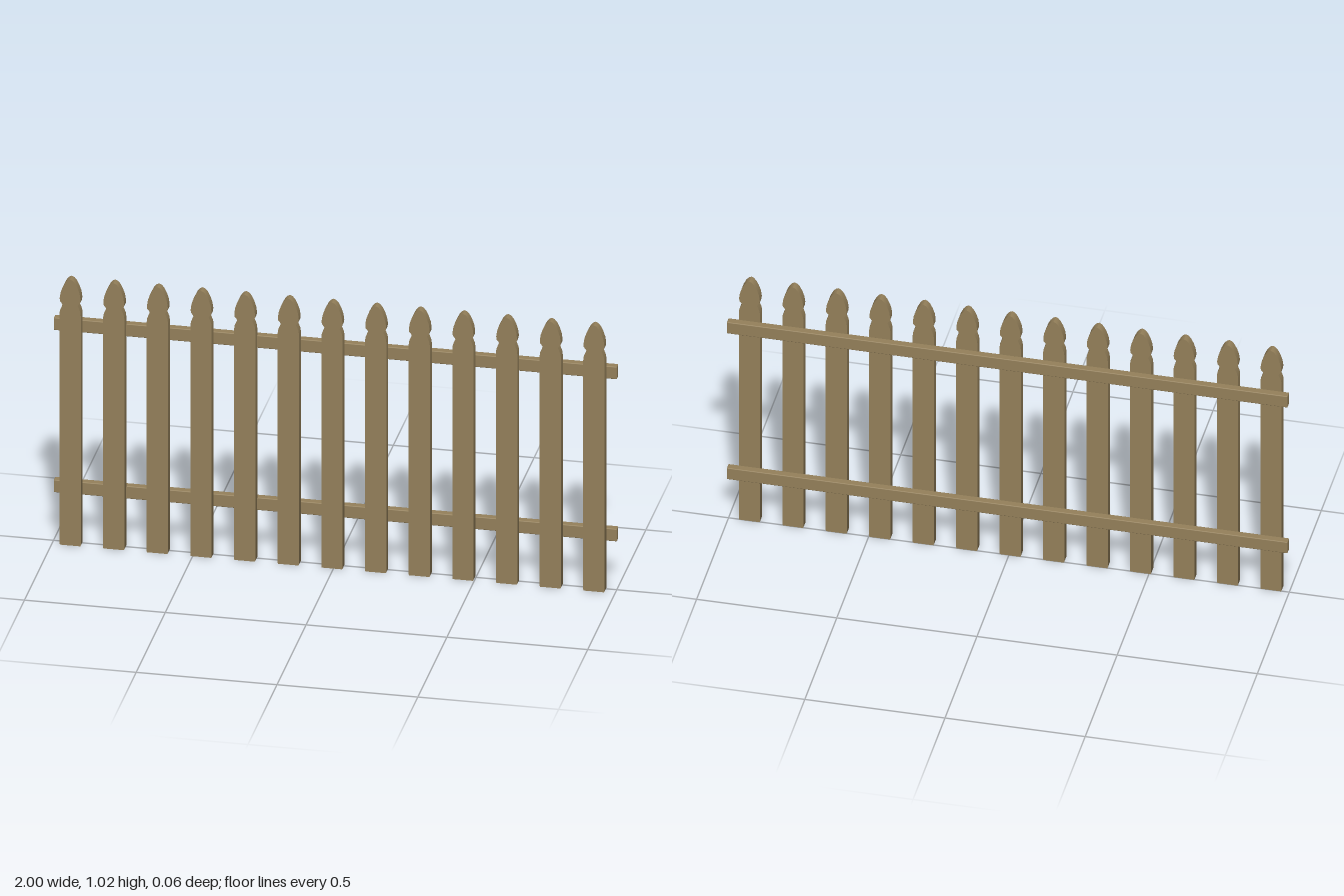
import * as THREE from 'three';
import { RoundedBoxGeometry } from 'three/addons/geometries/RoundedBoxGeometry.js';
import { toCreasedNormals } from 'three/addons/utils/BufferGeometryUtils.js';

const PICKETS = 13, PITCH = 0.155, FIRST_X = -0.935;
const BACK_Z = -0.002, DEPTH = 0.032;

// Right half of the picket outline above the shoulder: [half width, height]
const HEAD = [
  [0.038, 0.885], [0.036, 0.9], [0.031, 0.913], [0.027, 0.922], [0.03, 0.928],
  [0.036, 0.935], [0.037, 0.947], [0.034, 0.968], [0.027, 0.989],
  [0.018, 1.007], [0.009, 1.018], [0, 1.022],
];

function picketGeometry() {
  const right = [[0.036, 0], [0.038, 0.004], ...HEAD];
  const left = right.slice(0, -1).reverse().map(([x, y]) => [-x, y]);
  const shape = new THREE.Shape([...right, ...left].map(([x, y]) => new THREE.Vector2(x, y)));
  const geometry = new THREE.ExtrudeGeometry(shape, { depth: DEPTH, bevelEnabled: false });
  geometry.translate(0, 0, BACK_Z);
  return toCreasedNormals(geometry, 0.6);
}

export function createModel() {
  const group = new THREE.Group();
  group.name = 'picketFence';
  const wood = new THREE.MeshStandardMaterial({ color: 0x94805a });
  wood.name = 'weathered wood';

  // Upright pickets
  const picket = picketGeometry();
  for (let i = 0; i < PICKETS; i++) {
    const mesh = new THREE.Mesh(picket, wood);
    mesh.name = `picket${i + 1}`;
    mesh.position.x = FIRST_X + i * PITCH;
    group.add(mesh);
  }

  // Horizontal rails behind the pickets
  const rail = new RoundedBoxGeometry(2, 0.048, 0.027, 2, 0.003);
  for (const [name, y] of [['lowerRail', 0.208], ['upperRail', 0.831]]) {
    const mesh = new THREE.Mesh(rail, wood);
    mesh.name = name;
    mesh.position.set(0, y, -0.0145);
    group.add(mesh);
  }
  return group;
}
